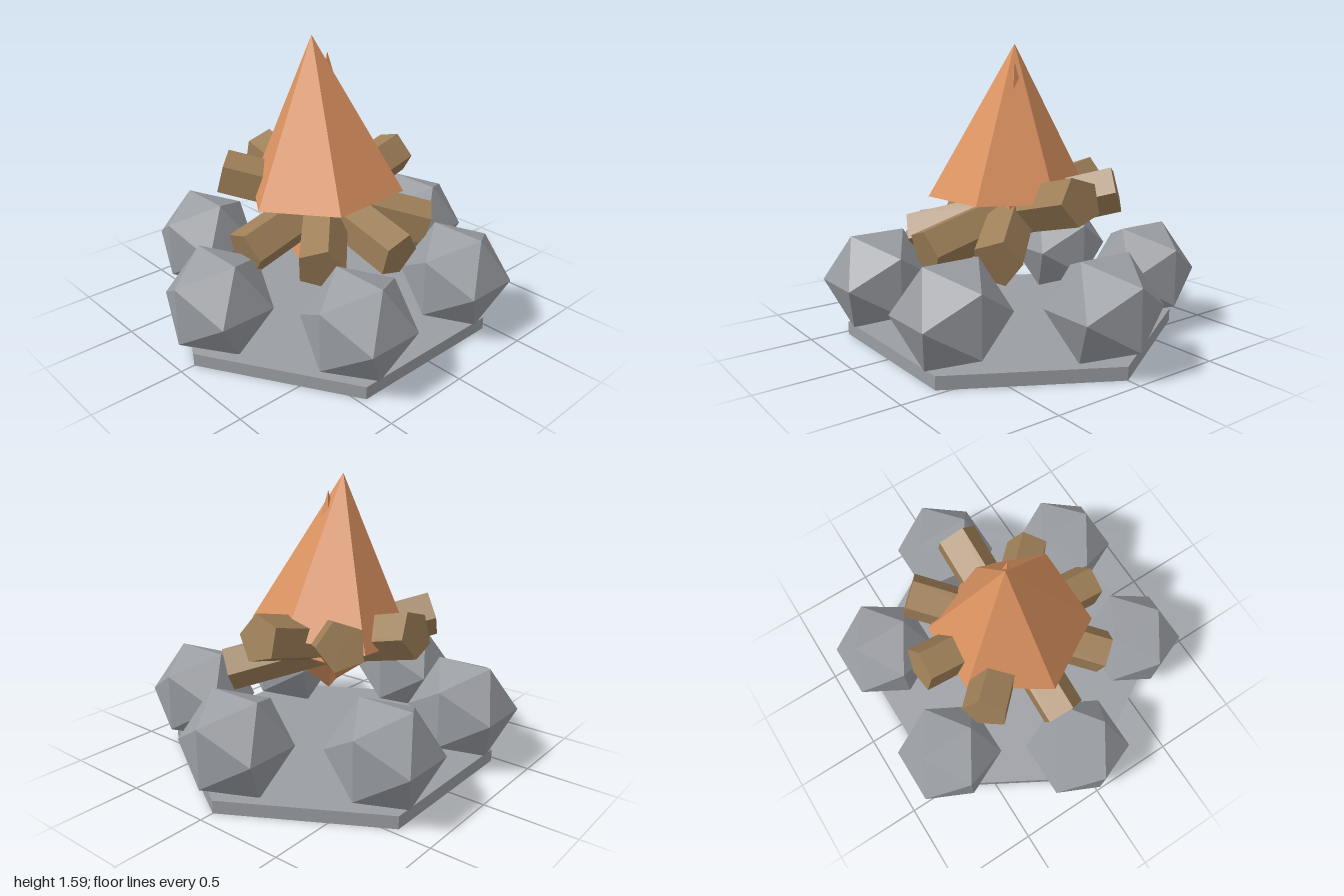
import * as THREE from 'three';

const flat = (name, color) => {
  const m = new THREE.MeshStandardMaterial({ color, flatShading: true });
  m.name = name;
  return m;
};

// Leaning pyramid from an apex and a loop of base points (from +z round to +x)
function spire(apex, base) {
  const pos = [];
  const centre = [0, 1, 2].map(k => base.reduce((s, p) => s + p[k], 0) / base.length);
  base.forEach((p, i) => {
    const q = base[(i + 1) % base.length];
    pos.push(...p, ...q, ...apex, ...q, ...p, ...centre);
  });
  const g = new THREE.BufferGeometry();
  g.setAttribute('position', new THREE.Float32BufferAttribute(pos, 3));
  g.computeVertexNormals();
  return g;
}

export function createModel() {
  const group = new THREE.Group();
  group.name = 'campfire';
  const stone = flat('stone grey', 0x9a9da2);
  const wood = flat('log brown', 0x9e7f58);
  const fire = flat('flame orange', 0xdb9260);

  const add = (name, geometry, material) => {
    const mesh = new THREE.Mesh(geometry, material);
    mesh.name = name;
    group.add(mesh);
    return mesh;
  };

  // Hexagonal slab with corners on the x axis
  add('base', new THREE.CylinderGeometry(0.92, 0.92, 0.07, 6).rotateY(Math.PI / 2).translate(0, 0.035, 0), stone);

  // Ring of six stones, all facing the same way
  const rock = new THREE.IcosahedronGeometry(0.3, 0).rotateY(Math.PI / 2);
  for (let i = 0; i < 6; i++) {
    const a = i * Math.PI / 3;
    add('ringStone', rock, stone).position.set(0.745 * Math.cos(a), 0.32, 0.745 * Math.sin(a));
  }

  // Four tilted five-sided logs crossing at the centre
  const log = new THREE.CylinderGeometry(0.13, 0.13, 1.17, 5)
    .rotateY(Math.PI / 2)
    .rotateX(Math.PI / 2 + 0.25);
  for (const turn of [45, 0, -45, -90]) {
    const mesh = add('log', log, wood);
    mesh.position.y = 0.673;
    mesh.rotation.y = THREE.MathUtils.degToRad(turn);
  }

  // Large outer flame
  add('outerFlame', spire([-0.05, 1.59, -0.05], [
    [-0.25, 0.765, 0.39], [0.21, 0.78, 0.39], [0.37, 0.77, 0],
    [0.21, 0.72, -0.4], [-0.2, 0.7, -0.4], [-0.47, 0.735, 0],
  ]), fire);

  // Inner flame, its tip just breaking through near the top
  add('innerFlame', spire([0.015, 1.5, 0], [
    [-0.25, 0.33, 0.15], [-0.11, 0.33, 0.1], [0.2, 0.62, 0.18],
    [0.2, 0.62, -0.15], [-0.24, 0.55, -0.15],
  ]), fire);

  return group;
}
